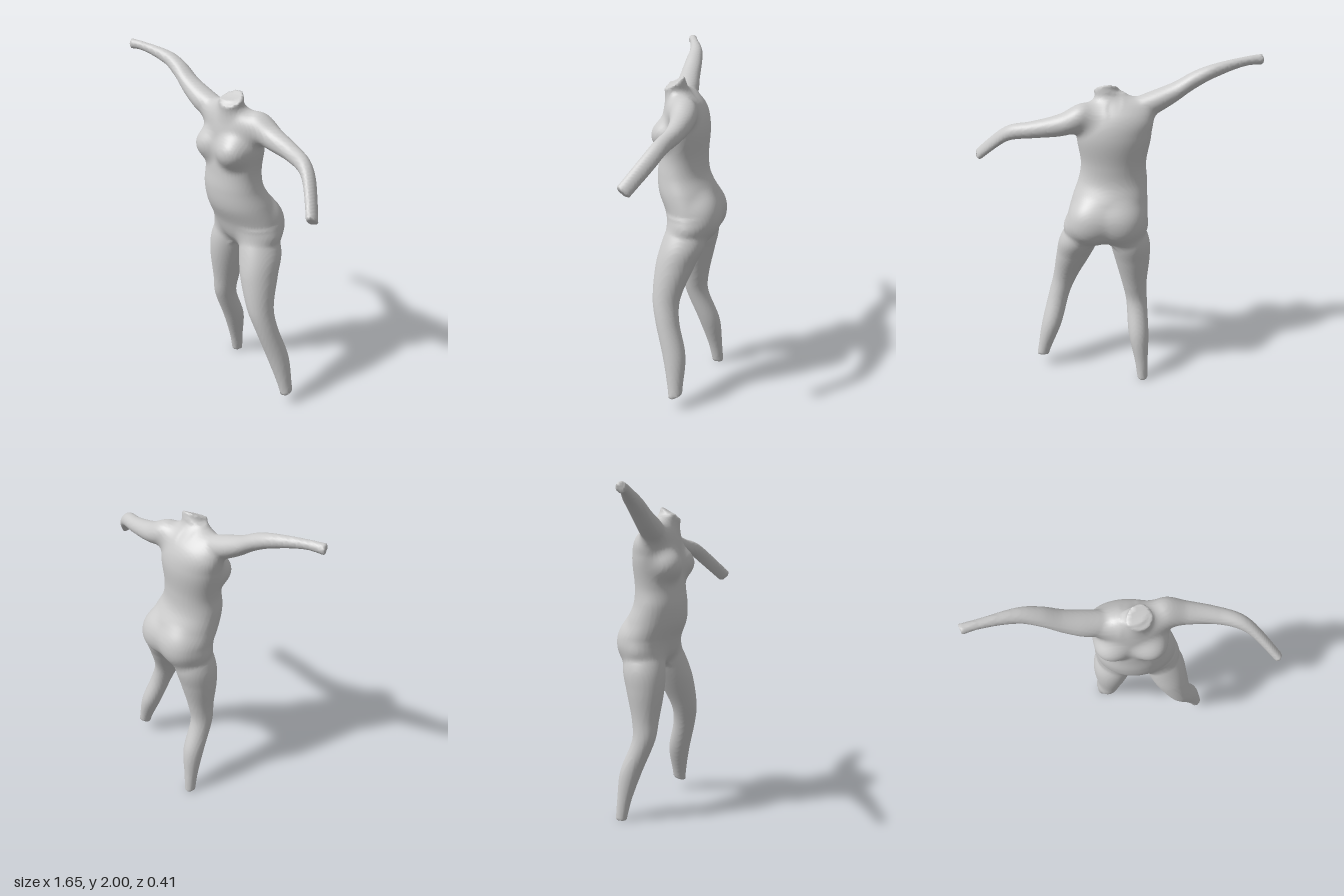
import * as THREE from 'three';
import { mergeVertices } from 'three/addons/utils/BufferGeometryUtils.js';

// Torso cross-sections: [y, centreX, centreZ, radiusX, radiusZ]
const TORSO = [
  [0.93, 0.05, -0.03, 0.11, 0.08], [1, 0.045, -0.04, 0.235, 0.14], [1.1, 0.03, -0.033, 0.233, 0.168],
  [1.2, 0.018, 0.005, 0.217, 0.17], [1.3, 0.003, 0.035, 0.198, 0.15], [1.4, 0, 0.035, 0.188, 0.14],
  [1.58, -0.004, 0.025, 0.212, 0.137], [1.7, -0.02, 0.035, 0.19, 0.108], [1.8, 0, 0.07, 0.06, 0.04],
];
// Round sections of the neck: [y, centreX, centreZ, radius]
const NECK = [[1.68, 0.03, 0.05, 0.06], [1.9, 0.056, 0.1, 0.07]];
// Round sections of the arms: [x, centreY, centreZ, radius]
const RIGHT_ARM = [
  [-0.86, 1.97, 0.19, 0.031], [-0.73, 1.965, 0.148, 0.026], [-0.55, 1.922, 0.093, 0.04], [-0.44, 1.87, 0.082, 0.051],
  [-0.336, 1.8, 0.08, 0.06], [-0.22, 1.742, 0.071, 0.07], [-0.08, 1.7, 0.05, 0.06],
];
const LEFT_ARM = [
  [0.06, 1.68, 0.02, 0.06], [0.18, 1.675, -0.005, 0.08], [0.3, 1.633, -0.017, 0.063], [0.46, 1.6, -0.01, 0.048],
  [0.59, 1.57, 0.02, 0.044], [0.68, 1.505, 0.065, 0.044], [0.88, 1.305, 0.215, 0.038],
];
// Both legs share one profile [y, radius]; each follows its own path [x, z]
const LEG = [[0, 0.031], [0.12, 0.04], [0.3, 0.061], [0.5, 0.064], [0.62, 0.075], [0.8, 0.105], [0.92, 0.117], [1.06, 0.1]];
const RIGHT_PATH = [
  [-0.192, -0.138], [-0.182, -0.122], [-0.162, -0.085], [-0.145, -0.01],
  [-0.13, -0.005], [-0.115, -0.012], [-0.1, -0.025], [-0.07, -0.035],
];
const LEFT_PATH = [
  [0.468, -0.018], [0.44, -0.013], [0.39, 0.005], [0.34, 0.058],
  [0.3, 0.07], [0.24, 0.033], [0.202, -0.005], [0.15, -0.03],
];

const round = (rows) => rows.map((row) => [...row, row[3]]);
const leg = (path) => LEG.map(([y, r], i) => [y, ...path[i], r, r * 1.08]);

// A flat end through a point, facing along a normal
const cutAt = (point, normal) =>
  new THREE.Plane().setFromNormalAndCoplanarPoint(new THREE.Vector3(...normal).normalize(), new THREE.Vector3(...point));

// blend is the softness of the join with the rest of the body
const LIMBS = [
  { name: 'torso', axis: 'y', rows: TORSO },
  { name: 'neck', axis: 'y', blend: 0.04, rows: round(NECK), cut: cutAt([0.047, 1.812, 0.092], [0.15, 0.84, 0.52]) },
  { name: 'rightLeg', axis: 'y', blend: 0.04, rows: leg(RIGHT_PATH) },
  { name: 'leftLeg', axis: 'y', blend: 0.04, rows: leg(LEFT_PATH), cut: cutAt([0.455, 0.073, -0.015], [0, -0.92, -0.39]) },
  { name: 'rightArm', axis: 'x', blend: 0.05, rows: round(RIGHT_ARM), cut: cutAt([-0.82, 1.97, 0.18], [-0.93, 0, 0.37]) },
  { name: 'leftArm', axis: 'x', blend: 0.05, rows: round(LEFT_ARM), cut: cutAt([0.802, 1.383, 0.16], [0.63, -0.6, 0.48]) },
];

// Paired soft bulges on the torso, chest and seat
const BULGES = [
  { x: 0, spread: 0.1, y: 1.53, z: 0.115, radii: [0.092, 0.085, 0.085] },
  { x: 0.035, spread: 0.095, y: 1.065, z: -0.108, radii: [0.11, 0.13, 0.093] },
];

// Approximate distance to an ellipsoid at the origin
function ellipseDistance(x, y, z, a, b, c) {
  const k0 = Math.hypot(x / a, y / b, z / c);
  const k1 = Math.hypot(x / (a * a), y / (b * b), z / (c * c)) + 1e-9;
  return (k0 * (k0 - 1)) / k1;
}

// Smooth (Hermite) interpolation of the cross-sections
const section = [0, 0, 0, 0, 0];
function sectionAt(rows, t) {
  const last = rows.length - 1;
  let i = 0;
  while (i < last - 1 && t > rows[i + 1][0]) i++;
  const p = rows[i], q = rows[i + 1], before = rows[Math.max(i - 1, 0)], after = rows[Math.min(i + 2, last)];
  const d = q[0] - p[0], s = (t - p[0]) / d, r = 1 - s;
  for (let j = 1; j < 5; j++) {
    const m0 = ((q[j] - before[j]) / (q[0] - before[0])) * d;
    const m1 = ((after[j] - p[j]) / (after[0] - p[0])) * d;
    section[j] = r * r * (1 + 2 * s) * p[j] + s * r * r * m0 + s * s * (3 - 2 * s) * q[j] - s * s * r * m1;
  }
  return section;
}

const point = new THREE.Vector3();
function limbDistance({ axis, rows, cut }, x, y, z) {
  const along = axis === 'y' ? y : x, across = axis === 'y' ? x : y;
  const start = rows[0][0], end = rows[rows.length - 1][0];
  const s = sectionAt(rows, THREE.MathUtils.clamp(along, start, end));
  const d = Math.max(ellipseDistance(across - s[1], z - s[2], 0, s[3], s[4], 1), start - along, along - end);
  return cut ? Math.max(d, cut.distanceToPoint(point.set(x, y, z))) : d;
}

function softMin(a, b, k) {
  const h = Math.max(k - Math.abs(a - b), 0);
  return Math.min(a, b) - (h * h) / (4 * k);
}

// Distance to the whole body; all limbs flow into each other
function bodyDistance(x, y, z) {
  const [torso, ...others] = LIMBS;
  let d = limbDistance(torso, x, y, z);
  for (const b of BULGES)
    for (const side of [-1, 1])
      d = softMin(d, ellipseDistance(x - b.x - side * b.spread, y - b.y, z - b.z, ...b.radii), 0.05);
  for (const limb of others) d = softMin(d, limbDistance(limb, x, y, z), limb.blend);
  return d;
}

function nearestLimb(x, y, z) {
  const d = LIMBS.map((limb) => limbDistance(limb, x, y, z));
  return d.indexOf(Math.min(...d));
}

// Wraps one even skin of quads around the body; returns positions and faces per limb
function buildSkin() {
  const h = 0.012, min = [-0.888, -0.036, -0.264], size = [149, 175, 45];
  const step = [1, size[0], size[0] * size[1]];
  const field = new Float32Array(step[2] * size[2]).fill(1);
  const eachNode = (from, fn) => {
    for (let k = from; k < size[2] - 1; k++)
      for (let j = from; j < size[1] - 1; j++)
        for (let i = from; i < size[0] - 1; i++) fn(i, j, k, i + j * step[1] + k * step[2]);
  };
  eachNode(0, (i, j, k, n) => { field[n] = bodyDistance(min[0] + i * h, min[1] + j * h, min[2] + k * h); });

  // One vertex in each cell that the surface crosses
  const positions = [], owner = [], vertexOf = new Int32Array(field.length).fill(-1);
  eachNode(0, (i, j, k, n) => {
    const sum = [0, 0, 0];
    let count = 0;
    for (let a = 0; a < 3; a++) {
      const b = (a + 1) % 3, c = (a + 2) % 3;
      for (let e = 0; e < 4; e++) {
        const u = e & 1, v = e >> 1, m = n + u * step[b] + v * step[c];
        const f0 = field[m], f1 = field[m + step[a]];
        if (f0 < 0 === f1 < 0) continue;
        sum[a] += f0 / (f0 - f1);
        sum[b] += u;
        sum[c] += v;
        count++;
      }
    }
    if (!count) return;
    const p = [i, j, k].map((g, a) => min[a] + (g + sum[a] / count) * h);
    // Settle the vertex on the exact surface
    for (let pass = 0; pass < 2; pass++) {
      const f = bodyDistance(...p), eps = 0.001;
      const g = p.map((_, a) => {
        const q = p.slice();
        q[a] += eps;
        return (bodyDistance(...q) - f) / eps;
      });
      const move = THREE.MathUtils.clamp(f / (g[0] ** 2 + g[1] ** 2 + g[2] ** 2 + 1e-6), -h / 3, h / 3);
      for (let a = 0; a < 3; a++) p[a] -= g[a] * move;
    }
    vertexOf[n] = owner.length;
    owner.push(nearestLimb(...p));
    positions.push(...p);
  });

  // One quad around each grid edge that the surface crosses
  const faces = LIMBS.map(() => []);
  eachNode(1, (i, j, k, n) => {
    for (let a = 0; a < 3; a++) {
      const inside = field[n] < 0;
      if (inside === field[n + step[a]] < 0) continue;
      const b = step[(a + 1) % 3], c = step[(a + 2) % 3];
      const quad = [n, n - b, n - b - c, n - c].map((m) => vertexOf[m]);
      if (!inside) quad.reverse();
      const [p, q, r, s] = quad;
      faces[owner[p]].push(p, q, r, p, r, s);
    }
  });
  return { positions, faces };
}

export function createModel() {
  const group = new THREE.Group();
  group.name = 'headlessFigure';
  const material = new THREE.MeshStandardMaterial({ color: 0xcccccc });
  const { positions, faces } = buildSkin();

  // Shared normals keep the joins between the limbs seamless
  const skin = new THREE.BufferGeometry();
  skin.setAttribute('position', new THREE.Float32BufferAttribute(positions, 3));
  skin.setIndex(faces.flat());
  skin.computeVertexNormals();

  LIMBS.forEach(({ name }, i) => {
    skin.setIndex(faces[i]);
    const mesh = new THREE.Mesh(mergeVertices(skin.toNonIndexed(), 1e-6), material);
    mesh.name = name;
    group.add(mesh);
  });
  return group;
}
